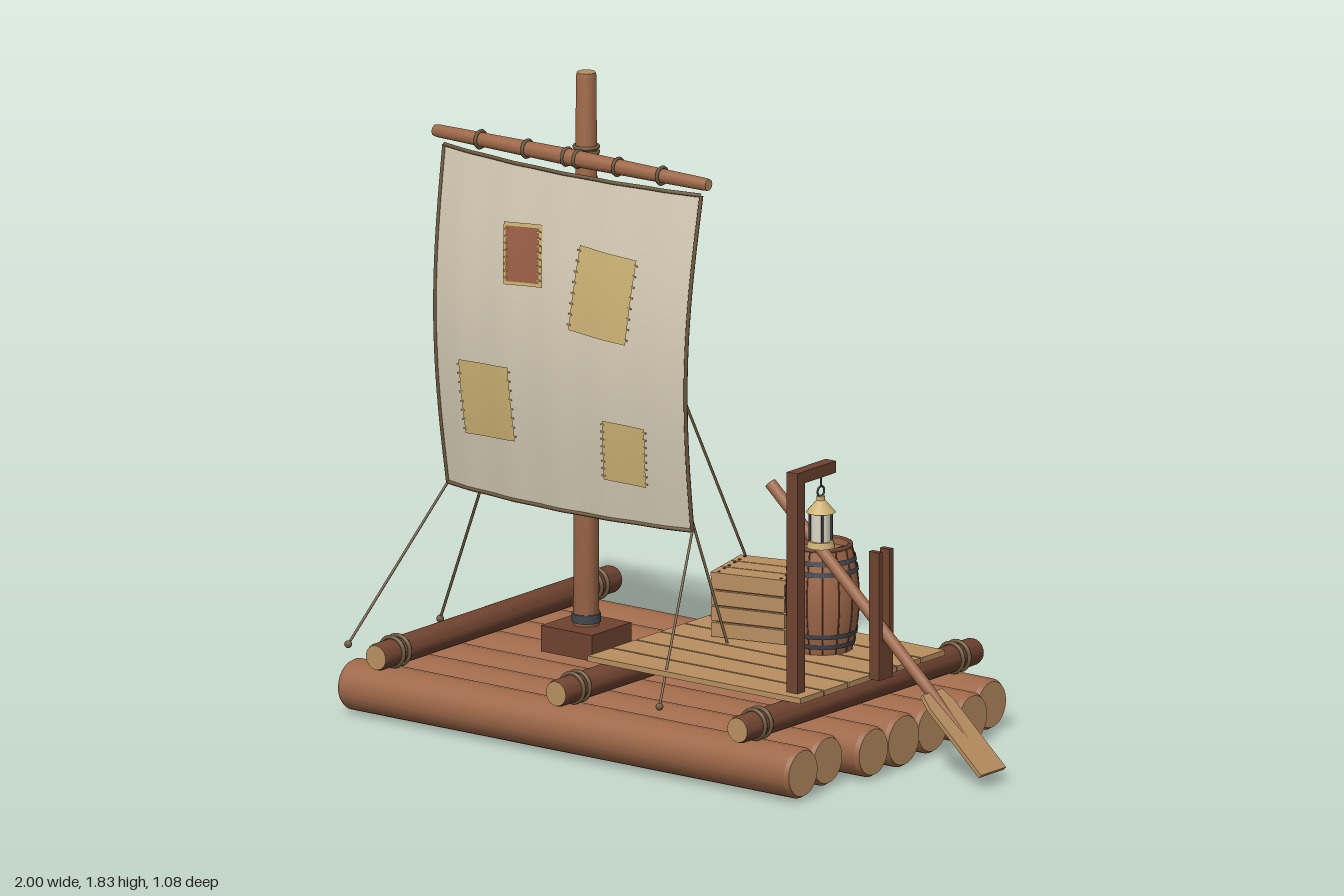
import * as THREE from 'three';
import { toCreasedNormals } from 'three/addons/utils/BufferGeometryUtils.js';

const mat = (name, color, side = THREE.FrontSide) => {
  const m = new THREE.MeshStandardMaterial({ color, side });
  m.name = name;
  return m;
};
const V = (x, y, z) => new THREE.Vector3(x, y, z);

export function createModel() {
  const logWood = mat('log wood', 0x9e6849);
  const darkWood = mat('dark wood', 0x6f4331);
  const paleWood = mat('pale wood', 0xb88f60, THREE.DoubleSide);
  const canvas = mat('canvas', 0xd6ccb6, THREE.DoubleSide);
  const straw = mat('straw cloth and brass', 0xcdb274, THREE.DoubleSide);
  const rust = mat('rust cloth', 0x9b5f45, THREE.DoubleSide);
  const rope = mat('rope', 0x6e5a3e);
  const iron = mat('iron', 0x424750, THREE.DoubleSide);
  const glass = mat('glass', 0xdcd8c4);

  const raft = new THREE.Group();
  raft.name = 'raft';

  const add = (name, geo, material, x = 0, y = 0, z = 0, parent = raft) => {
    const m = new THREE.Mesh(geo, material);
    m.name = name;
    m.position.set(x, y, z);
    parent.add(m);
    return m;
  };
  const box = (name, w, h, d, material, x, y, z, parent) =>
    add(name, new THREE.BoxGeometry(w, h, d), material, x, y, z, parent);
  const group = (name, x, y, z, parent = raft) => {
    const g = new THREE.Group();
    g.name = name;
    g.position.set(x, y, z);
    parent.add(g);
    return g;
  };
  const lathe = (pts, seg = 24) =>
    toCreasedNormals(new THREE.LatheGeometry(pts.map(p => new THREE.Vector2(...p)), seg), 0.5);

  // Round timber along local y with chamfered ends and sawn faces
  const timber = (name, len, r0, r1, rm, material, x, y, z) => {
    const g = group(name, x, y, z), h = len / 2, b = 0.012;
    add(name + 'Bark', lathe([[r0 * 0.9, -h], [r0, -h + b], [rm, 0], [r1, h - b], [r1 * 0.9, h]]), material, 0, 0, 0, g);
    for (const s of [-1, 1])
      add(name + 'End', new THREE.CircleGeometry((s < 0 ? r0 : r1) * 0.9, 24), paleWood, 0, s * h, 0, g).rotation.x = -s * Math.PI / 2;
    return g;
  };
  const ring = (name, R, r, material, x, y, z, axis, parent) => {
    const m = add(name, new THREE.TorusGeometry(R, r, 8, 24), material, x, y, z, parent);
    if (axis === 'y') m.rotation.x = Math.PI / 2;
    if (axis === 'x') m.rotation.y = Math.PI / 2;
    return m;
  };
  const line = (name, a, b, r = 0.004) =>
    add(name, new THREE.TubeGeometry(new THREE.LineCurve3(a, b), 1, r, 6), rope);

  // Hull logs: [x start, x end], back to front
  [[-0.92, 0.64], [-0.955, 0.69], [-0.91, 0.665], [-0.965, 0.68], [-0.945, 0.69], [-0.93, 0.645], [-0.915, 0.675]]
    .forEach(([a, b], i) => {
      const r = i === 3 ? 0.078 : 0.073;
      timber('hullLog', b - a, r, r, r, logWood, (a + b) / 2, 0.082, (i - 3) * 0.151).rotation.z = -Math.PI / 2;
    });

  // Cross beams and their lashings
  for (const x of [-0.765, -0.13, 0.51]) {
    timber('crossBeam', 1.08, 0.039, 0.039, 0.039, darkWood, x, 0.198, 0).rotation.x = Math.PI / 2;
    for (const s of [-1, 1]) for (const dz of [-0.014, 0.014])
      ring('lashing', 0.042, 0.006, rope, x, 0.2, s * 0.452 + dz, 'z');
  }

  // Deck planks
  for (let i = 0; i < 6; i++)
    box('deckPlank', 0.75, 0.016, 0.105, paleWood, 0.195, 0.247, (i - 2.5) * 0.111);

  // Mast, step and collars
  box('mastStep', 0.18, 0.075, 0.18, darkWood, -0.44, 0.197, 0);
  timber('mast', 1.63, 0.037, 0.029, 0.033, logWood, -0.44, 1.015, 0);
  add('mastCollar', new THREE.CylinderGeometry(0.041, 0.041, 0.025, 24), iron, -0.44, 0.255, 0);
  for (const y of [1.585, 1.6, 1.615]) ring('mastLashing', 0.033, 0.006, rope, -0.44, y, 0, 'y');

  // Yard with rope rings
  timber('yard', 0.965, 0.018, 0.018, 0.024, logWood, -0.4425, 1.595, 0.062).rotation.z = -Math.PI / 2;
  for (const x of [-0.765, -0.6, -0.46, -0.42, -0.28, -0.125]) ring('yardTie', 0.024, 0.005, rope, x, 1.595, 0.062, 'x');

  // Sail surface: u runs -1..1 across, v runs 0..1 upward
  const half = v => 0.431 + 0.0225 * v;
  const sailPoint = (u, v, off = 0) => V(-0.44 + u * half(v), 0.59 + 0.97 * v,
    0.075 - 0.012 * v + 0.045 * (1 - u * u) + 0.05 * Math.sin(Math.PI * v) + 0.002 * Math.cos(u * 16) + off);
  const bend = (geo, fn) => {
    const p = geo.attributes.position;
    for (let i = 0; i < p.count; i++) {
      const q = fn(p.getX(i), p.getY(i));
      p.setXYZ(i, q.x, q.y, q.z);
    }
    geo.computeVertexNormals();
    return geo;
  };
  add('sail', bend(new THREE.PlaneGeometry(2, 1, 40, 20), (u, y) => sailPoint(u, y + 0.5)), canvas);
  const edges = [t => [t * 2 - 1, 0], t => [t * 2 - 1, 1], t => [-1, t], t => [1, t]];
  for (const e of edges) {
    const pts = Array.from({ length: 17 }, (_, i) => sailPoint(...e(i / 16)));
    add('sailHem', new THREE.TubeGeometry(new THREE.CatmullRomCurve3(pts), 32, 0.006, 6), rope);
  }

  // Patches follow the sail, with stitches down both sides
  const onSail = (cx, cy, a, off) => (px, py) => {
    const x = cx + px * Math.cos(a) - py * Math.sin(a), y = cy + px * Math.sin(a) + py * Math.cos(a);
    const v = (y - 0.59) / 0.97;
    return sailPoint((x + 0.44) / half(v), v, off);
  };
  const patch = (cx, cy, w, h, a, material, off, stitches = true) => {
    add('sailPatch', bend(new THREE.PlaneGeometry(w, h, 8, 8), onSail(cx, cy, a, off)), material);
    if (!stitches) return;
    for (const s of [-1, 1]) for (let i = 0; i < 8; i++) {
      const p = onSail(cx, cy, a, off)(s * w / 2, h * ((i + 0.5) / 8 - 0.5));
      box('stitch', 0.012, 0.004, 0.004, off > 0 ? straw : rope, p.x, p.y, p.z).rotation.z = a;
    }
  };
  patch(-0.55, 1.315, 0.14, 0.175, 0.09, straw, 0.004, false);
  patch(-0.55, 1.315, 0.12, 0.155, 0.09, rust, 0.007);
  patch(-0.27, 1.243, 0.19, 0.245, -0.09, straw, 0.005);
  patch(-0.68, 0.872, 0.19, 0.215, 0.06, straw, 0.005);
  patch(-0.2, 0.793, 0.135, 0.175, -0.05, straw, 0.005);
  patch(-0.42, 0.98, 0.15, 0.23, 0.03, straw, -0.005);

  // Mast stays and sail sheets
  const top = V(-0.44, 1.6, 0);
  const ropes = [
    [top, V(-0.775, 0.235, -0.44)], [top, V(-0.145, 0.235, -0.44)],
    [top, V(-0.955, 0.165, 0)], [top, V(0.075, 0.165, -0.02)],
    [sailPoint(-1, 0), V(-0.99, 0.165, 0.375)], [sailPoint(1, 0), V(0.108, 0.165, 0.375)],
  ];
  for (const [a, b] of ropes) {
    line('riggingRope', a, b);
    add('ropeKnot', new THREE.SphereGeometry(0.011, 10, 8), rope, b.x, b.y, b.z);
  }

  // Crate: dark core, slats on four sides, boards on top
  const crate = group('crate', 0.06, 0.255, -0.16);
  crate.rotation.y = 0.235;
  box('crateCore', 0.205, 0.176, 0.185, darkWood, 0, 0.09, 0, crate);
  for (let i = 0; i < 4; i++) {
    const y = 0.025 + i * 0.046;
    for (const s of [-1, 1]) {
      box('crateSlat', 0.225, 0.041, 0.012, paleWood, 0, y, s * 0.097, crate);
      box('crateSlat', 0.012, 0.041, 0.19, paleWood, s * 0.107, y, 0, crate);
    }
  }
  for (let i = -1; i <= 1; i++) {
    box('crateLidBoard', 0.23, 0.012, 0.066, paleWood, 0, 0.184, i * 0.07, crate);
    for (const x of [-0.095, 0.095]) for (const d of [-0.018, 0.018])
      box('nail', 0.007, 0.004, 0.007, iron, x, 0.19, i * 0.07 + d, crate);
  }

  // Barrel with stave seams, hoops and a sunk lid
  const barrel = group('barrel', 0.285, 0.255, -0.14);
  const bulge = y => 0.083 + 0.022 * Math.sin(Math.PI * y / 0.3);
  const profile = Array.from({ length: 13 }, (_, i) => [bulge(i * 0.025), i * 0.025]);
  add('staves', lathe([...profile, [0.072, 0.3], [0.072, 0.275]], 32), logWood, 0, 0, 0, barrel);
  add('barrelLid', new THREE.CylinderGeometry(0.074, 0.074, 0.01, 24), logWood, 0, 0.278, 0, barrel);
  for (const x of [-0.025, 0.025]) box('lidSeam', 0.004, 0.003, 0.13, darkWood, x, 0.284, 0, barrel);
  for (let i = 0; i < 14; i++) {
    const seam = new THREE.CatmullRomCurve3(profile.map(([r, y]) => V(r, y, 0)));
    add('staveSeam', new THREE.TubeGeometry(seam, 12, 0.0022, 5), darkWood, 0, 0, 0, barrel).rotation.y = i * Math.PI / 7;
  }
  for (const y of [0.025, 0.055, 0.235, 0.265])
    add('hoop', new THREE.CylinderGeometry(bulge(y + 0.007) + 0.004, bulge(y - 0.007) + 0.004, 0.014, 32, 1, true), iron, 0, y, 0, barrel);
  ring('barrelRim', 0.079, 0.007, darkWood, 0, 0.3, 0, 'y', barrel);

  // Lantern post and arm
  box('lanternPost', 0.038, 0.635, 0.036, darkWood, 0.515, 0.5725, 0.279);
  box('lanternArm', 0.036, 0.034, 0.178, darkWood, 0.515, 0.874, 0.208);

  // Lantern
  const lantern = group('lantern', 0.515, 0.65, 0.165);
  add('lanternBase', new THREE.CylinderGeometry(0.036, 0.04, 0.018, 16), straw, 0, 0.009, 0, lantern);
  add('lanternGlass', new THREE.CylinderGeometry(0.028, 0.028, 0.09, 16), glass, 0, 0.06, 0, lantern);
  add('lanternCap', new THREE.CylinderGeometry(0.012, 0.042, 0.035, 16), straw, 0, 0.118, 0, lantern);
  add('lanternKnob', new THREE.CylinderGeometry(0.012, 0.012, 0.014, 12), straw, 0, 0.14, 0, lantern);
  for (let i = 0; i < 4; i++) {
    const a = Math.PI / 4 + i * Math.PI / 2;
    add('lanternBar', new THREE.CylinderGeometry(0.0035, 0.0035, 0.09, 6), iron, 0.031 * Math.cos(a), 0.06, 0.031 * Math.sin(a), lantern);
  }
  ring('lanternRing', 0.015, 0.003, iron, 0, 0.16, 0, 'x', lantern);
  add('lanternHook', new THREE.CylinderGeometry(0.003, 0.003, 0.04, 6), iron, 0, 0.192, 0, lantern);

  // Forked oar rest
  box('oarRestPost', 0.034, 0.11, 0.064, darkWood, 0.601, 0.305, 0);
  for (const s of [-1, 1]) box('oarRestProng', 0.034, 0.26, 0.018, darkWood, 0.601, 0.49, s * 0.025);

  // Steering oar, handle at the origin and blade along local x
  const oar = group('steeringOar', 0.21, 0.748, 0);
  oar.rotation.z = -0.735;
  add('oarShaft', new THREE.CylinderGeometry(0.017, 0.017, 0.74, 14), logWood, 0.37, 0, 0, oar).rotation.z = -Math.PI / 2;
  add('oarShaftTip', new THREE.CylinderGeometry(0.003, 0.017, 0.25, 14), logWood, 0.865, 0, 0, oar).rotation.z = -Math.PI / 2;
  const blade = new THREE.Shape([[0.765, -0.045], [0.81, -0.057], [1.055, -0.057], [1.055, 0.057], [0.81, 0.057], [0.765, 0.045]]
    .map(p => new THREE.Vector2(...p)));
  add('oarBlade', new THREE.ExtrudeGeometry(blade, { depth: 0.012, bevelEnabled: false }), paleWood, 0, 0.006, 0, oar).rotation.x = Math.PI / 2;

  return raft;
}
